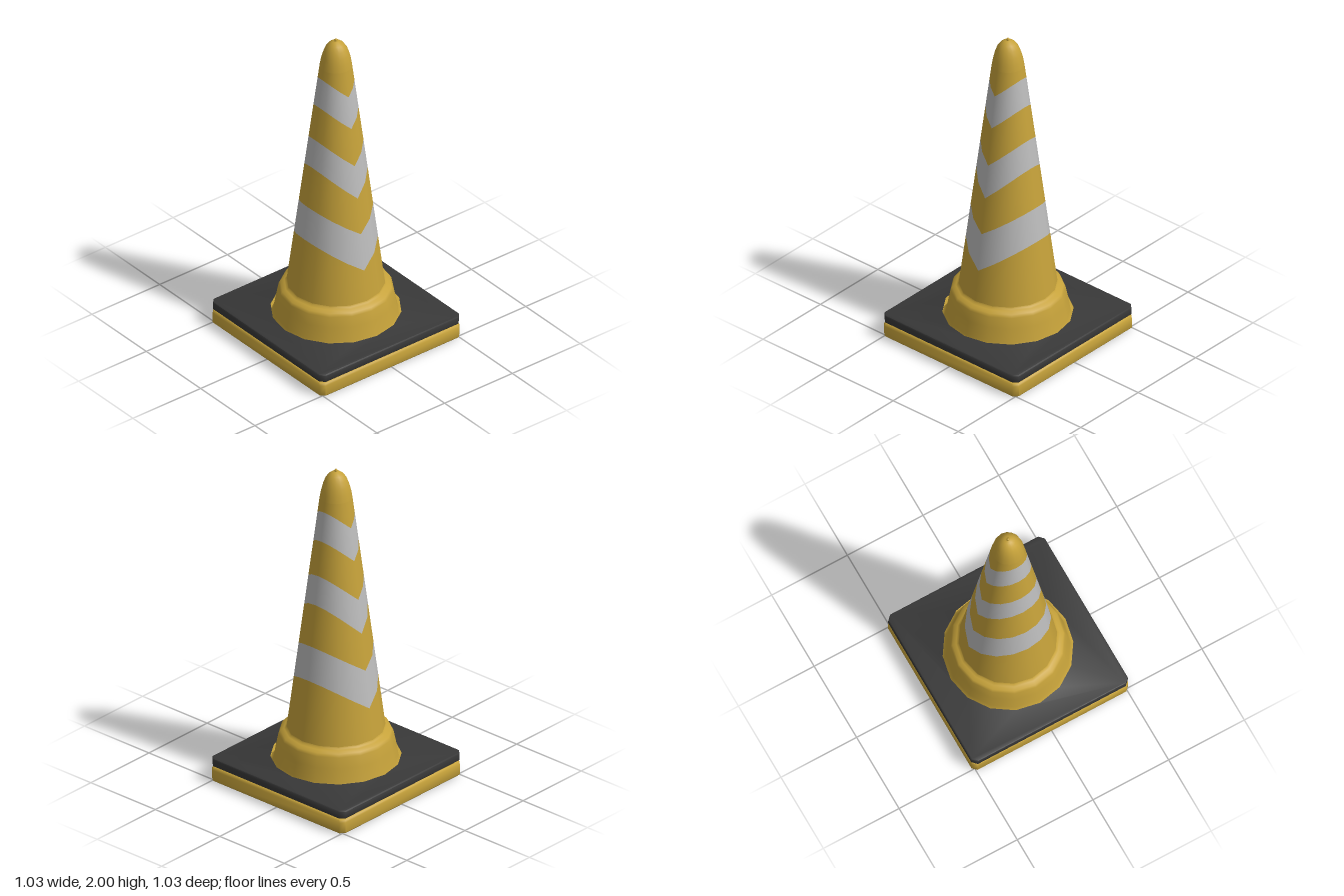
import * as THREE from 'three';
import { toCreasedNormals } from 'three/addons/utils/BufferGeometryUtils.js';

const SIDES = 16;
const HALF = 0.517;

function material(name, color, side = THREE.FrontSide) {
  const m = new THREE.MeshStandardMaterial({ color, side });
  m.name = name;
  return m;
}

// Skin a list of closed rings, each running front -> left (+x) -> back -> right
function loft(rings) {
  const n = rings[0].length;
  const positions = rings.flat().flatMap((p) => [p.x, p.y, p.z]);
  const index = [];
  for (let j = 0; j < rings.length - 1; j++) {
    for (let i = 0; i < n; i++) {
      const k = (i + 1) % n;
      const a = j * n + i, b = j * n + k, c = b + n, d = a + n;
      index.push(a, b, c, a, c, d);
    }
  }
  const g = new THREE.BufferGeometry();
  g.setAttribute('position', new THREE.Float32BufferAttribute(positions, 3));
  g.setIndex(index);
  g.computeVertexNormals();
  return g;
}

// Ring of the round body; radius and height may vary with the angle
function roundRing(radiusAt, heightAt) {
  return Array.from({ length: SIDES }, (_, i) => {
    const a = (i / SIDES) * Math.PI * 2;
    const y = heightAt(a), r = radiusAt(y);
    return new THREE.Vector3(r * Math.sin(a), y, r * Math.cos(a));
  });
}

// Square ring with clipped corners
function squareRing(h, y, clip = 0.025) {
  const c = h - clip;
  return [[-c, h], [c, h], [h, c], [h, -c], [c, -h], [-c, -h], [-h, -c], [-h, c]]
    .map(([x, z]) => new THREE.Vector3(x, y, z));
}

// Square slab with a round hole, lying flat from y to y + height
function slab(h, hole, y, height, bevel) {
  const shape = new THREE.Shape(squareRing(h - bevel, 0).map((p) => new THREE.Vector2(p.x, p.z)));
  shape.holes.push(new THREE.Path(
    roundRing(() => hole + bevel, () => 0).map((p) => new THREE.Vector2(p.x, p.z))));
  const g = new THREE.ExtrudeGeometry(shape, {
    depth: height - 2 * bevel, bevelEnabled: bevel > 0,
    bevelThickness: bevel, bevelSize: bevel, bevelSegments: 2,
  });
  g.rotateX(-Math.PI / 2);
  g.translate(0, y + bevel, 0);
  return g;
}

// Straight taper of the cone
const coneRadius = (y) => 0.285 - (y - 0.34) * 0.1285;

// Cone section between two heights, with outward normals of the taper
function coneBand(bottom, top) {
  const g = loft([roundRing(coneRadius, bottom), roundRing(coneRadius, top)]);
  const p = g.attributes.position, n = g.attributes.normal;
  for (let i = 0; i < p.count; i++) {
    const v = new THREE.Vector3(p.getX(i), 0, p.getZ(i)).normalize();
    v.y = 0.1285;
    v.normalize();
    n.setXYZ(i, v.x, v.y, v.z);
  }
  return g;
}

// Lathe with the same facets as the cone
function lathe(points) {
  return new THREE.LatheGeometry(points.map(([r, y]) => new THREE.Vector2(r, y)), SIDES);
}

export function createModel() {
  const yellow = material('yellow', 0xc6a23a);
  const yellowInside = yellow;
  yellow.side = THREE.DoubleSide;
  const grey = material('reflective grey', 0xbcbcbc);
  const black = material('black rubber', 0x383838);

  const group = new THREE.Group();
  group.name = 'trafficCone';
  const add = (name, geometry, mat) => {
    const mesh = new THREE.Mesh(geometry, mat);
    mesh.name = name;
    group.add(mesh);
  };

  // Hollow base skirt: inner wall, bottom rim, outer wall, rounded top edge
  const skirt = [[0.455, 0.075], [0.47, 0.06], [0.485, 0.012], [0.495, 0], [0.51, 0],
    [HALF, 0.008], [HALF, 0.072], [0.512, 0.085], [0.5, 0.09]];
  add('baseSkirt', toCreasedNormals(loft(skirt.map(([h, y]) => squareRing(h, y))), 0.95), yellow);
  add('baseTop', slab(0.5, 0.36, 0.075, 0.015, 0), yellow);

  // Weight plate resting on the base
  add('weightPlate', toCreasedNormals(slab(HALF, 0.373, 0.097, 0.05, 0.006), 0.9), black);

  // Flared foot with a rounded shoulder
  add('foot', lathe([[0.39, 0.09], [0.373, 0.102], [0.36, 0.147], [0.345, 0.23], [0.332, 0.295],
    [0.322, 0.313], [0.3, 0.324], [0.289, 0.331], [0.285, 0.34]]), yellow);

  // Cone built as bands; stripe edges dip at front and back and rise at the sides
  const edge = (low, high) => (a) => low + (high - low) * Math.abs(Math.sin(a));
  const edges = [
    () => 0.34,
    edge(0.535, 0.715), edge(0.77, 0.925),
    edge(1.0, 1.183), edge(1.21, 1.363),
    edge(1.45, 1.577), edge(1.655, 1.757),
    () => 1.82,
  ];
  for (let i = 0; i < edges.length - 1; i++) {
    const striped = i % 2 === 1;
    add(striped ? 'reflectiveStripe' : 'coneBand', coneBand(edges[i], edges[i + 1]),
      striped ? grey : yellow);
  }

  // Rounded tip and small moulding nub
  add('tip', lathe([[coneRadius(1.82), 1.82], [0.088, 1.86], [0.078, 1.9], [0.064, 1.938],
    [0.045, 1.966], [0.024, 1.982], [0.001, 1.987]]), yellow);
  add('nub', lathe([[0.009, 1.978], [0.009, 1.994], [0.005, 1.999], [0.0005, 2]]), yellow);

  // Inner wall of the hollow cone
  add('innerWall', lathe([[0.36, 0.078], [0.345, 0.147], [0.33, 0.23], [0.318, 0.288],
    [0.3, 0.306], [0.275, 0.318], [0.27, 0.34], [coneRadius(1.82) - 0.015, 1.82],
    [0.05, 1.93], [0.001, 1.96]]), yellowInside);

  return group;
}
